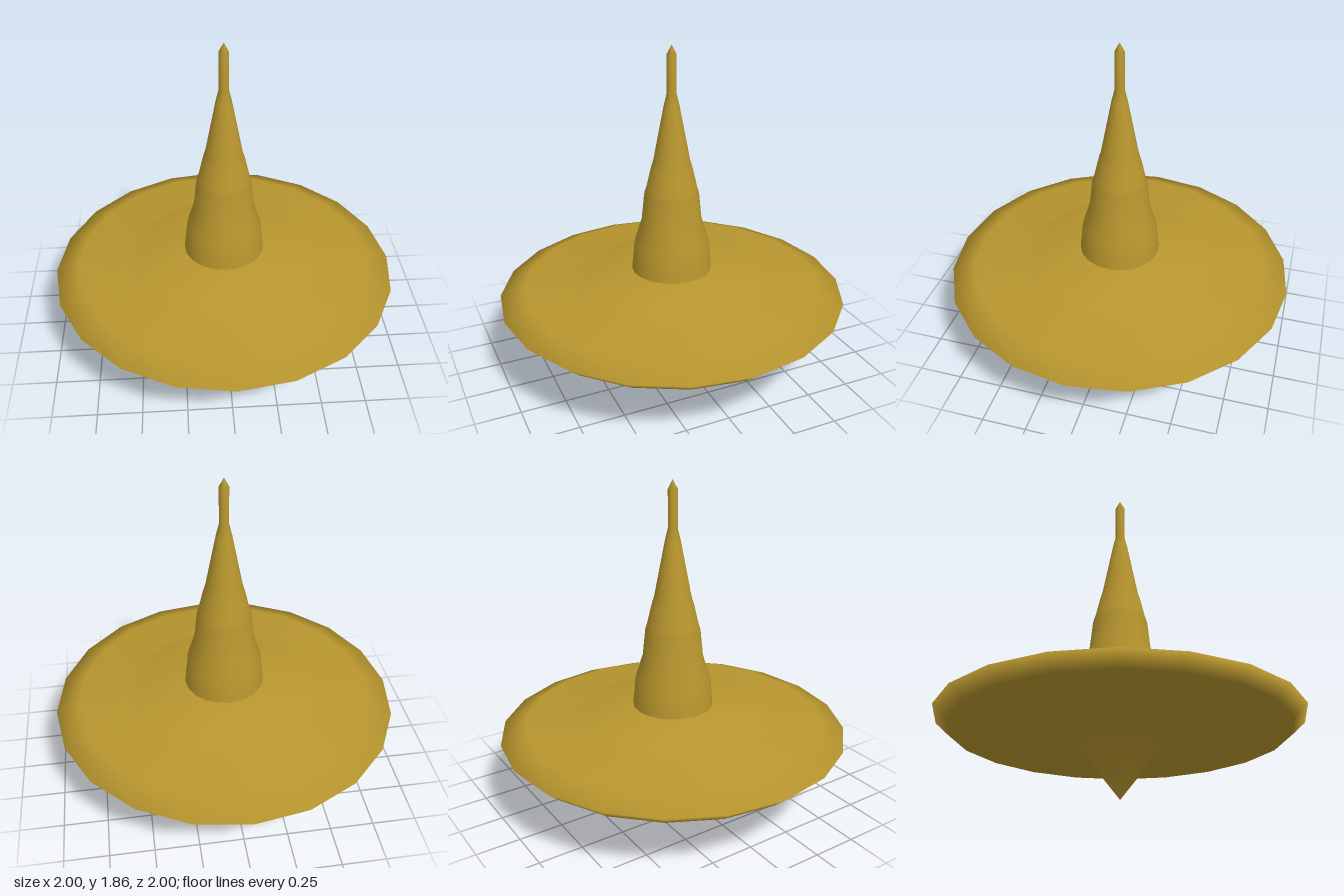
import * as THREE from 'three';

export function createModel() {
  const group = new THREE.Group();
  const brass = new THREE.MeshStandardMaterial({ color: 0xb8962e });
  brass.name = 'brass';

  // Turns a [radius, height] profile, listed from bottom to top
  const turn = (name, profile, sides) => {
    const points = profile.map(([r, y]) => new THREE.Vector2(r, y));
    const mesh = new THREE.Mesh(new THREE.LatheGeometry(points, sides), brass);
    mesh.name = name;
    group.add(mesh);
  };

  // Pointed tip flowing into the flat disc and its raised shoulder
  turn('discAndTip', [
    [0, 0], [0.25, 0.318], [0.78, 0.318], [0.925, 0.352], [1, 0.42],
    [0.86, 0.475], [0.59, 0.475], [0.51, 0.525], [0.235, 0.565], [0.2, 0.565],
  ], 20);

  // Stepped, tapering stem with a thin finial
  turn('stem', [
    [0.232, 0.563], [0.228, 0.6], [0.215, 0.727], [0.172, 0.866], [0.156, 1.02],
    [0.146, 1.05], [0.119, 1.165], [0.104, 1.215], [0.043, 1.53],
    [0.027, 1.595], [0.027, 1.805], [0, 1.857],
  ], 20);

  return group;
}
